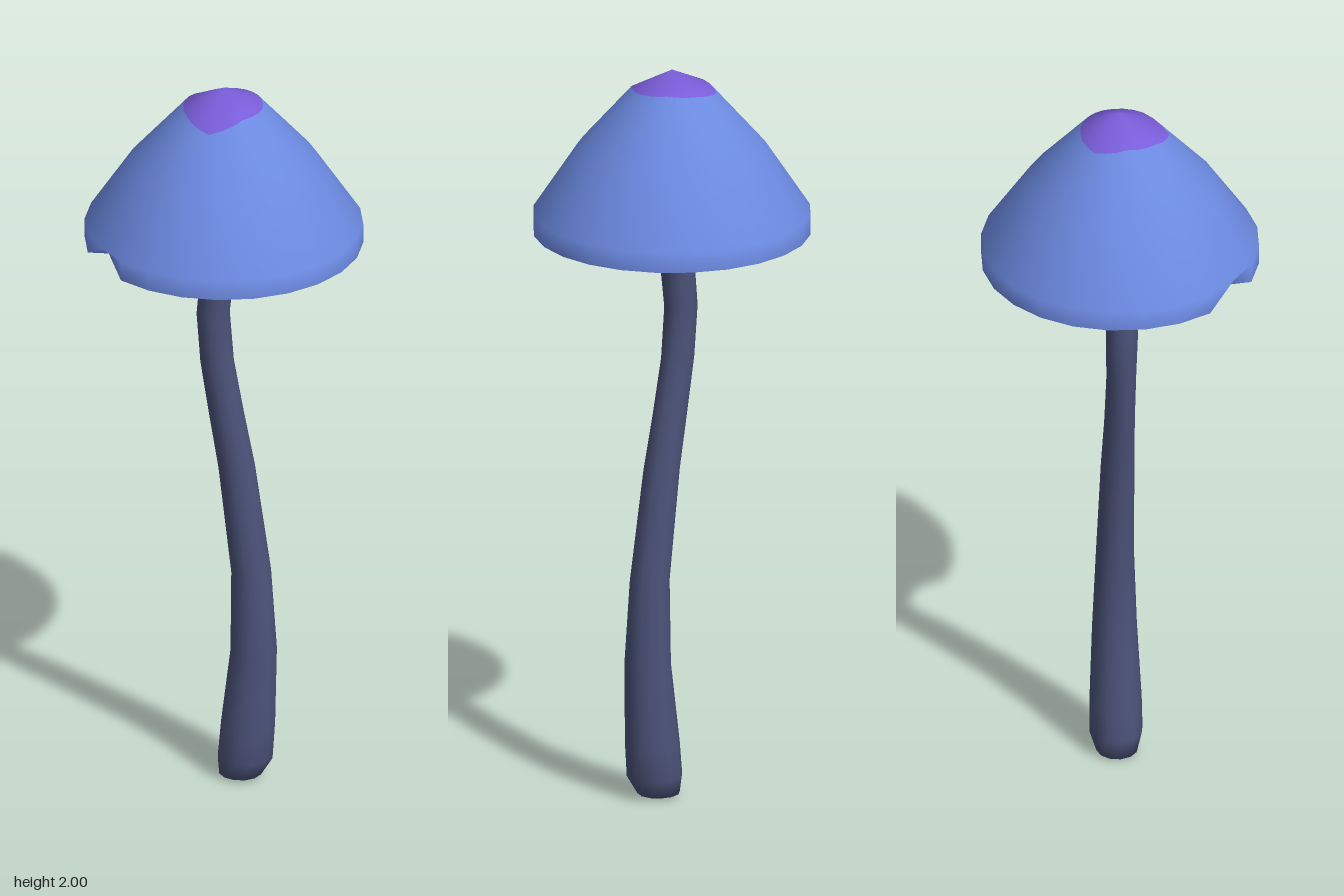
import * as THREE from 'three';
import { mergeVertices } from 'three/addons/utils/BufferGeometryUtils.js';

const TAU = Math.PI * 2;

// Skin a stack of rings, listed from top to bottom; ringPoint(j, i) gives [x, y, z].
function skin(ringCount, sides, ringPoint) {
  const pos = [], index = [];
  for (let j = 0; j < ringCount; j++)
    for (let i = 0; i < sides; i++) pos.push(...ringPoint(j, i));
  for (let j = 0; j < ringCount - 1; j++)
    for (let i = 0; i < sides; i++) {
      const a = j * sides + i, b = j * sides + (i + 1) % sides;
      index.push(a, b, b + sides, a, b + sides, a + sides);
    }
  const g = new THREE.BufferGeometry();
  g.setAttribute('position', new THREE.Float32BufferAttribute(pos, 3));
  g.setIndex(index);
  const merged = mergeVertices(g, 1e-5);
  merged.computeVertexNormals();
  return merged;
}

// Height of the cap surface at a given radius
const CAP = [[0, 2], [0.1, 1.957], [0.25, 1.787], [0.367, 1.61]];
function capHeight(r) {
  const k = r < 0.1 ? 0 : r < 0.25 ? 1 : 2;
  const [r0, y0] = CAP[k], [r1, y1] = CAP[k + 1];
  return y0 + (y1 - y0) * (r - r0) / (r1 - r0);
}

// Uneven edge of the coloured tip, every 45 degrees from +x towards +z
const TIP = [0.105, 0.106, 0.131, 0.112, 0.105, 0.117, 0.106, 0.1];
function tipRadius(i) {
  const k = Math.floor(i / 3);
  return THREE.MathUtils.lerp(TIP[k], TIP[(k + 1) % 8], (i % 3) / 3);
}

export function createModel() {
  const group = new THREE.Group();
  const material = (name, color) => {
    const m = new THREE.MeshStandardMaterial({ color });
    m.name = name;
    return m;
  };
  const blue = material('capBlue', 0x6b89e0);
  const purple = material('purple', 0x7a5edb);
  const slate = material('stemSlate', 0x4b5379);
  const add = (name, geometry, mat) => {
    const mesh = new THREE.Mesh(geometry, mat);
    mesh.name = name;
    group.add(mesh);
  };

  const N = 24, CHIP = 9;
  const polar = (r, y, i) => [r * Math.cos(i / N * TAU), y, r * Math.sin(i / N * TAU)];
  // A small chip is missing from the rim at one vertex
  const rim = (r, y, i) => i === CHIP ? polar(r * 0.93, y + 0.035, i) : polar(r, y, i);

  // Cap with its coloured tip
  const cap = skin(5, N, (j, i) => {
    if (j === 0) return [0, 2, 0];
    if (j === 1) return polar(tipRadius(i), capHeight(tipRadius(i)), i);
    if (j === 2) return polar(0.25, 1.787, i);
    if (j === 3) return polar(i === CHIP ? 0.362 : 0.367, 1.61, i);
    return rim(0.367, 1.556, i);
  });
  cap.addGroup(0, N * 6, 1);
  cap.addGroup(N * 6, N * 18, 0);
  add('cap', cap, [blue, purple]);

  // Rim underside and gills
  add('capRim', skin(2, N, (j, i) => j ? polar(0.295, 1.575, i) : rim(0.367, 1.556, i)), blue);
  add('gills', skin(2, N, (j, i) => j ? [0, 1.61, 0] : polar(0.295, 1.575, i)), purple);

  // Spot: a thin patch following the cap
  const spotOutline = [[-0.245, -0.15], [-0.24, -0.165], [-0.225, -0.187], [-0.207, -0.194],
    [-0.203, -0.172], [-0.215, -0.153], [-0.235, -0.145]];
  const spotPoint = (x, z) => [x, capHeight(Math.hypot(x, z)) + 0.004, z];
  add('spot', skin(2, spotOutline.length, (j, i) =>
    j ? spotPoint(...[...spotOutline].reverse()[i]) : spotPoint(-0.224, -0.168)), purple);

  // Curved stem: height, centre x, half width in x, half width in z
  const STEM = [
    [1.61, 0.005, 0.046, 0.05], [1.5, -0.014, 0.046, 0.048], [1.34, -0.03, 0.045, 0.043],
    [1.2, -0.019, 0.046, 0.04], [1.05, 0.007, 0.048, 0.041], [0.9, 0.035, 0.05, 0.045],
    [0.6, 0.075, 0.054, 0.051], [0.37, 0.082, 0.063, 0.06], [0.15, 0.066, 0.074, 0.07],
    [0.06, 0.059, 0.075, 0.071], [0.008, 0.045, 0.057, 0.055], [0, 0.05, 0, 0],
  ];
  const S = 12;
  add('stem', skin(STEM.length, S, (j, i) => {
    const [y, cx, rx, rz] = STEM[j], a = i / S * TAU;
    return [cx + rx * Math.cos(a), y, rz * Math.sin(a)];
  }), slate);

  return group;
}
